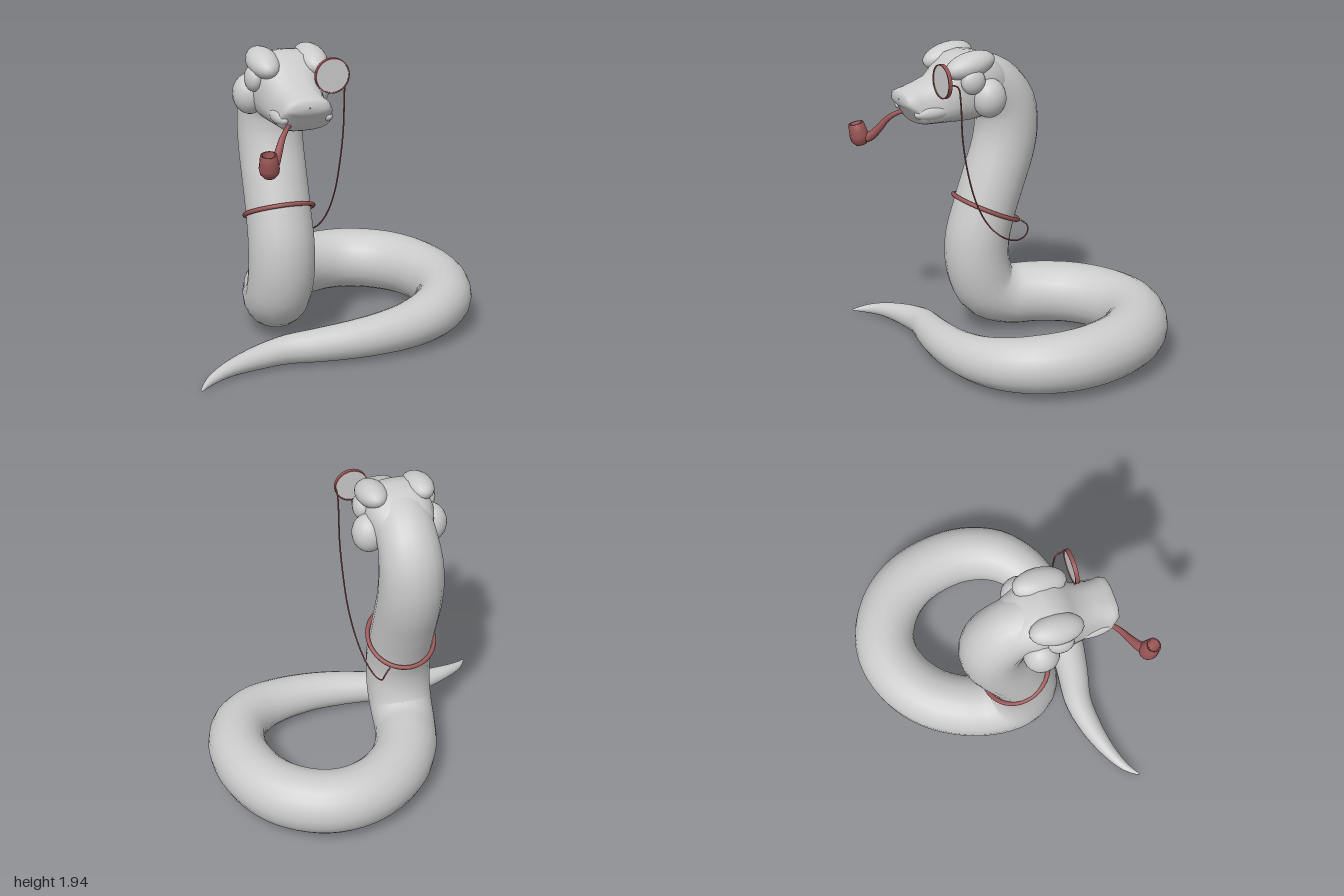
import * as THREE from 'three';

const skin = new THREE.MeshStandardMaterial({ color: 0xcccccc });
const trim = new THREE.MeshStandardMaterial({ color: 0x9a5555 });
const trimFlat = new THREE.MeshStandardMaterial({ color: 0x9a5555, flatShading: true });
const CX = -0.3; // x of the neck and head

function add(parent, name, geometry, material, x = 0, y = 0, z = 0) {
  const mesh = new THREE.Mesh(geometry, material);
  mesh.name = name;
  mesh.position.set(x, y, z);
  parent.add(mesh);
  return mesh;
}

// Tube along points [x, y, z, radius] with a varying radius
function taperedTube(points, segments, sides) {
  const curve = new THREE.CatmullRomCurve3(points.map(p => new THREE.Vector3(p[0], p[1], p[2])));
  curve.arcLengthDivisions = 1000;
  const geo = new THREE.TubeGeometry(curve, segments, 1, sides);
  const pos = geo.attributes.position, v = new THREE.Vector3();
  for (let i = 0; i <= segments; i++) {
    const u = i / segments, centre = curve.getPointAt(u);
    const t = curve.getUtoTmapping(u) * (points.length - 1);
    const k = Math.min(Math.floor(t), points.length - 2);
    const r = THREE.MathUtils.lerp(points[k][3], points[k + 1][3], t - k);
    for (let j = 0; j <= sides; j++) {
      const n = i * (sides + 1) + j;
      v.fromBufferAttribute(pos, n).sub(centre).multiplyScalar(r).add(centre);
      pos.setXYZ(n, v.x, v.y, v.z);
    }
  }
  return geo;
}

// Loft along z through rounded sections [z, halfWidth, bottom, top, taper]
function loft(sections, sides) {
  const verts = [], index = [];
  const soft = c => Math.sign(c) * Math.abs(c) ** 0.75;
  sections.forEach(([z, w, y0, y1, taper], i) => {
    for (let j = 0; j < sides; j++) {
      const a = j / sides * Math.PI * 2, s = soft(Math.sin(a));
      verts.push(w * soft(Math.cos(a)) * (1 - taper * s), (y0 + y1) / 2 + (y1 - y0) / 2 * s, z);
      if (i === sections.length - 1) continue;
      const p = i * sides + j, q = i * sides + (j + 1) % sides;
      index.push(p, q, p + sides, q, q + sides, p + sides);
    }
  });
  const geo = new THREE.BufferGeometry();
  geo.setAttribute('position', new THREE.Float32BufferAttribute(verts, 3));
  geo.setIndex(index);
  geo.computeVertexNormals();
  return geo;
}

function ellipsoid(rx, ry, rz) {
  return new THREE.SphereGeometry(1, 20, 14).scale(rx, ry, rz);
}

export function createModel() {
  const model = new THREE.Group();
  model.name = 'snake';

  // Body: tail tip, coil, then neck up into the head
  add(model, 'body', taperedTube([
    [-1.0, 0.015, 0.69, 0.006], [-0.93, 0.035, 0.62, 0.027], [-0.8, 0.062, 0.55, 0.046],
    [-0.6, 0.085, 0.49, 0.072], [-0.4, 0.105, 0.468, 0.09], [-0.2, 0.12, 0.5, 0.105],
    [0, 0.135, 0.525, 0.118], [0.2, 0.15, 0.527, 0.13], [0.42, 0.168, 0.49, 0.146],
    [0.6, 0.19, 0.41, 0.162], [0.74, 0.21, 0.27, 0.178], [0.81, 0.22, 0.08, 0.186],
    [0.815, 0.225, -0.1, 0.19], [0.76, 0.23, -0.32, 0.195], [0.64, 0.23, -0.5, 0.2],
    [0.46, 0.23, -0.62, 0.2], [0.28, 0.23, -0.652, 0.2], [0.08, 0.23, -0.6, 0.2],
    [-0.1, 0.23, -0.47, 0.2], [-0.22, 0.23, -0.29, 0.2], [-0.28, 0.235, -0.11, 0.2],
    [CX, 0.31, 0.035, 0.206], [CX, 0.46, 0.1, 0.21], [CX, 0.65, 0.108, 0.21],
    [CX, 0.85, 0.055, 0.205], [CX, 1.05, -0.015, 0.205], [CX, 1.25, -0.085, 0.205],
    [CX, 1.4, -0.11, 0.205], [CX, 1.54, -0.095, 0.2], [CX, 1.65, -0.025, 0.188],
    [CX, 1.71, 0.08, 0.185], [CX, 1.72, 0.2, 0.165],
  ], 110, 20), skin);

  // Head: skull and snout in one loft, then mirrored features
  const head = new THREE.Group();
  head.name = 'head';
  head.position.x = CX;
  model.add(head);
  add(head, 'skull', loft([
    [-0.1, 0.01, 1.66, 1.68, 0], [-0.08, 0.12, 1.6, 1.77, 0], [0, 0.18, 1.54, 1.85, 0],
    [0.1, 0.215, 1.5, 1.905, 0], [0.2, 0.215, 1.485, 1.925, 0], [0.29, 0.205, 1.485, 1.91, 0],
    [0.36, 0.185, 1.49, 1.85, 0.06], [0.43, 0.165, 1.495, 1.785, 0.14],
    [0.52, 0.155, 1.5, 1.755, 0.2], [0.565, 0.155, 1.515, 1.74, 0.2],
    [0.6, 0.15, 1.585, 1.725, 0.18], [0.635, 0.13, 1.62, 1.715, 0.15],
    [0.646, 0.09, 1.64, 1.695, 0.1], [0.648, 0.005, 1.665, 1.67, 0],
  ], 28), skin);
  for (const s of [-1, 1]) {
    add(head, 'cheek', ellipsoid(0.105, 0.125, 0.11), skin, s * 0.2, 1.65, 0.125);
    add(head, 'brow', ellipsoid(0.095, 0.08, 0.17), skin, s * 0.15, 1.86, 0.23).rotation.x = 0.2;
    add(head, 'eye', ellipsoid(0.055, 0.08, 0.08), skin, s * 0.21, 1.77, 0.24);
    add(head, 'lip', ellipsoid(0.045, 0.045, 0.13), skin, s * 0.135, 1.59, 0.48);
  }

  // Smoking pipe
  const pipe = new THREE.Group();
  pipe.name = 'pipe';
  model.add(pipe);
  add(pipe, 'pipeStem', taperedTube([
    [-0.38, 1.56, 0.55, 0.013], [-0.42, 1.545, 0.59, 0.014], [-0.47, 1.5, 0.645, 0.018],
    [-0.51, 1.43, 0.69, 0.024], [-0.55, 1.375, 0.735, 0.03], [-0.59, 1.36, 0.775, 0.035],
  ], 20, 10), trim);
  const bowlProfile = [[0, -0.075], [0.035, -0.066], [0.056, -0.04], [0.061, -0.01], [0.055, 0.03],
    [0.049, 0.075], [0.035, 0.075], [0.034, 0.01], [0, 0]];
  const bowl = add(pipe, 'pipeBowl',
    new THREE.LatheGeometry(bowlProfile.map(p => new THREE.Vector2(...p)), 16), trim, -0.597, 1.385, 0.787);
  bowl.rotation.set(0.2, 0, 0.1);

  // Monocle: glass in a thin rim
  const monocle = new THREE.Group();
  monocle.name = 'monocle';
  monocle.position.set(-0.092, 1.8, 0.452);
  monocle.rotation.x = Math.PI / 2;
  model.add(monocle);
  add(monocle, 'lens', new THREE.CylinderGeometry(0.102, 0.102, 0.014, 32), skin);
  const d = 0.0125;
  const rim = [[0.1, -d], [0.107, -d], [0.107, d], [0.1, d], [0.1, -d]];
  add(monocle, 'monocleRim', new THREE.LatheGeometry(rim.map(p => new THREE.Vector2(...p)), 32), trimFlat);

  // Cord hanging from the monocle to the neck band
  const cord = [[0.012, 1.8, 0.445], [0.013, 1.78, 0.4], [0.012, 1.68, 0.383], [0.01, 1.45, 0.372],
    [0.002, 1.22, 0.333], [-0.01, 1.0, 0.265], [-0.03, 0.83, 0.165], [-0.055, 0.72, 0.04],
    [-0.085, 0.677, -0.08], [-0.105, 0.7, -0.15], [-0.12, 0.75, -0.165], [-0.16, 0.777, -0.14]];
  add(model, 'cord', new THREE.TubeGeometry(
    new THREE.CatmullRomCurve3(cord.map(p => new THREE.Vector3(...p))), 70, 0.005, 6), trim);

  // Tilted band around the neck
  const band = new THREE.TorusGeometry(0.215, 0.014, 10, 40);
  band.rotateX(Math.PI / 2).scale(1, 1, 1.06);
  add(model, 'neckBand', band, trim, -0.294, 0.863, 0.046).rotation.x = -0.45;

  return model;
}
